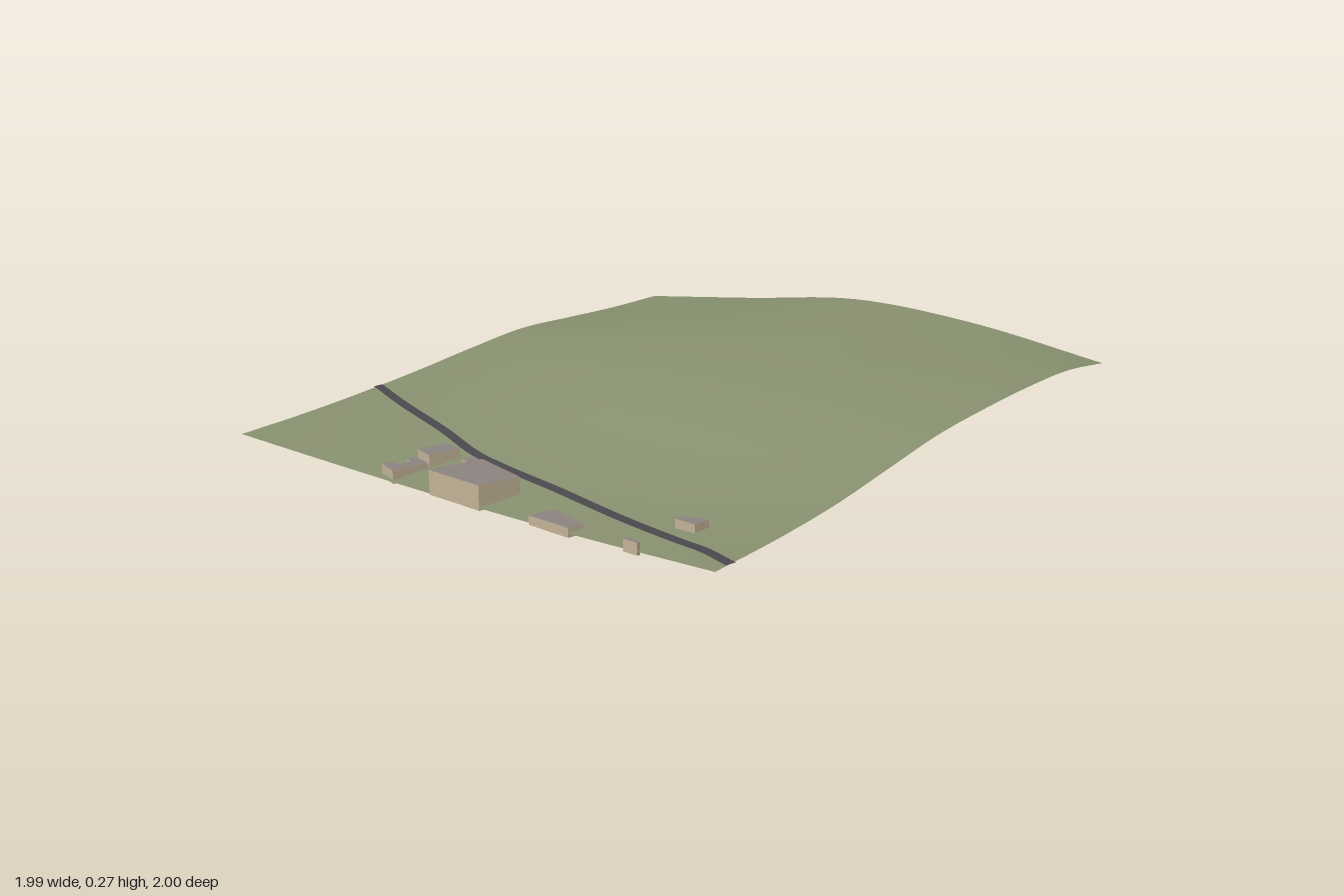
import * as THREE from 'three';

// Ground heights on a coarse grid: rows z = -1..1 (step 0.5), columns x = -1..1 (step 0.25)
const HEIGHTS = [
  [.005, .02, .042, .07, .103, .13, .128, .125, .13],
  [.008, .035, .07, .115, .16, .188, .2, .2, .195],
  [.015, .045, .09, .15, .197, .222, .24, .252, .263],
  [.03, .055, .1, .158, .2, .225, .238, .247, .25],
  [.055, .07, .095, .135, .175, .197, .211, .214, .19],
];

// Smooth cubic interpolation through evenly spaced values
function cubic(values, t) {
  const n = values.length - 1;
  const u = THREE.MathUtils.clamp(t, 0, 1) * n;
  const i = Math.min(Math.floor(u), n - 1), f = u - i;
  const b = values[i], c = values[i + 1];
  const a = i > 0 ? values[i - 1] : 2 * b - c;
  const d = i + 2 <= n ? values[i + 2] : 2 * c - b;
  return b + 0.5 * f * (c - a + f * (2 * a - 5 * b + 4 * c - d + f * (3 * (b - c) + d - a)));
}
const groundHeight = (x, z) => cubic(HEIGHTS.map((row) => cubic(row, (x + 1) / 2)), (z + 1) / 2);

const material = (color, side = THREE.FrontSide) => new THREE.MeshStandardMaterial({ color, side });

function named(name, geometry, mat) {
  const mesh = new THREE.Mesh(geometry, mat);
  mesh.name = name;
  return mesh;
}

function makeGround() {
  const geo = new THREE.PlaneGeometry(1.99, 1.99, 64, 64).rotateX(-Math.PI / 2).translate(-0.005, 0, -0.005);
  const p = geo.attributes.position;
  for (let i = 0; i < p.count; i++) p.setY(i, groundHeight(p.getX(i), p.getZ(i)));
  geo.computeVertexNormals();
  return geo;
}

// Ribbon draped over the ground along a plan curve
function makeRoad(points, width, lift) {
  const curve = new THREE.CatmullRomCurve3(points.map(([x, z]) => new THREE.Vector3(x, 0, z)));
  const steps = 100, pos = [], index = [];
  for (let i = 0; i <= steps; i++) {
    const c = curve.getPointAt(i / steps), t = curve.getTangentAt(i / steps);
    for (const s of [-0.5, 0.5]) {
      const x = c.x - t.z * s * width, z = c.z + t.x * s * width;
      pos.push(x, groundHeight(x, z) + lift, z);
    }
    const k = 2 * i;
    if (i < steps) index.push(k, k + 2, k + 1, k + 1, k + 2, k + 3);
  }
  const geo = new THREE.BufferGeometry();
  geo.setAttribute('position', new THREE.Float32BufferAttribute(pos, 3));
  geo.setIndex(index);
  geo.computeVertexNormals();
  return geo;
}

// Flat-roofed building from a plan outline, open underneath
function makeBuilding({ name, base, top, plan }, wallMat, roofMat) {
  const group = new THREE.Group();
  group.name = name;
  const pos = [];
  plan.forEach(([x, z], i) => {
    const [x2, z2] = plan[(i + 1) % plan.length];
    pos.push(x, base, z, x, top, z, x2, top, z2, x, base, z, x2, top, z2, x2, base, z2);
  });
  const walls = new THREE.BufferGeometry();
  walls.setAttribute('position', new THREE.Float32BufferAttribute(pos, 3));
  walls.computeVertexNormals();
  const shape = new THREE.Shape(plan.map(([x, z]) => new THREE.Vector2(x, -z)));
  const roof = new THREE.ShapeGeometry(shape).rotateX(-Math.PI / 2).translate(0, top, 0);
  group.add(named('walls', walls, wallMat), named('roof', roof, roofMat));
  return group;
}

// Plan outlines as [x, z], clockwise seen from above
const BUILDINGS = [
  { name: 'largeHall', base: .01, top: .085,
    plan: [[-1, -.08], [-.99, -.08], [-.83, -.04], [-.87, .16], [-1, .13]] },
  { name: 'lowHall', base: .017, top: .045,
    plan: [[-1, .33], [-.92, .35], [-.95, .49], [-1, .48]] },
  { name: 'edgeHut', base: .03, top: .065,
    plan: [[-1, .68], [-.98, .69], [-.99, .73], [-1, .73]] },
  { name: 'roadsideHouse', base: .03, top: .08,
    plan: [[-.83, .71], [-.8, .71], [-.8, .735], [-.78, .745], [-.78, .785], [-.83, .78]] },
  { name: 'shed', base: .02, top: .06,
    plan: [[-.82, -.14], [-.78, -.135], [-.785, -.105], [-.825, -.115]] },
  { name: 'courtyardBlock', base: 0, top: .042,
    plan: [[-.97, -.33], [-.935, -.32], [-.94, -.29], [-.9, -.28], [-.89, -.31], [-.86, -.305], [-.875, -.23], [-.99, -.255]] },
  { name: 'squareBlock', base: .01, top: .066,
    plan: [[-.855, -.3], [-.755, -.28], [-.77, -.205], [-.87, -.23]] },
];

const ROAD = [[-.44, -1], [-.545, -.73], [-.65, -.41], [-.73, -.18], [-.765, 0],
  [-.8, .24], [-.855, .535], [-.895, .775], [-.91, .88], [-.945, .995]];

export function createModel() {
  const model = new THREE.Group();
  model.name = 'hillsideWithRoad';
  model.add(named('ground', makeGround(), material(0x87906f, THREE.DoubleSide)));
  model.add(named('road', makeRoad(ROAD, 0.03, 0.003), material(0x4a484c, THREE.DoubleSide)));
  const wallMat = material(0xc4b498), roofMat = material(0x8c8480);
  for (const b of BUILDINGS) model.add(makeBuilding(b, wallMat, roofMat));
  return model;
}
